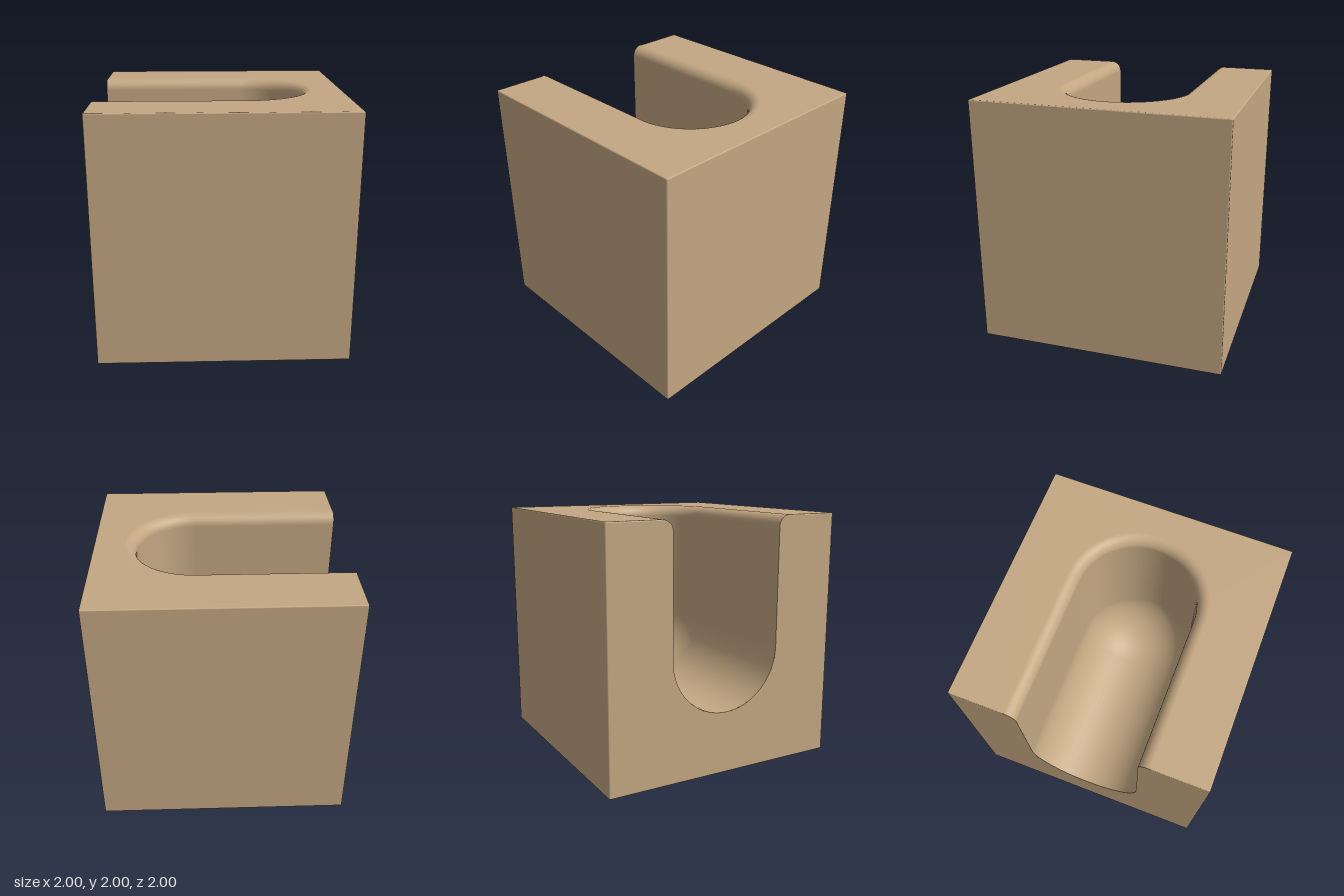
import * as THREE from 'three';

const R = 0.47;          // channel radius
const FLOOR_Y = 0.97;    // height of the channel floor's arc centre
const END_X = 0.2;       // centre of the rounded channel end
const RIM = 0.09;        // rounding of the channel rim
const W = R + RIM;
const BEVEL = 0.01;      // tiny rounding of the outer edges
const S = 1 - BEVEL;
const HALF_PI = Math.PI / 2;

function squareShape() {
  return new THREE.Shape([[-S, -S], [S, -S], [S, S], [-S, S]].map(([x, y]) => new THREE.Vector2(x, y)));
}

// Top face with a slot open to one side
function topShape() {
  const s = new THREE.Shape();
  s.moveTo(-S, -S).lineTo(S, -S).lineTo(S, S).lineTo(-S, S).lineTo(-S, W).lineTo(END_X, W);
  s.absarc(END_X, 0, W, HALF_PI, -HALF_PI, true);
  s.lineTo(-S, -W);
  return s;
}

// Side face with the round-bottomed channel mouth
function mouthShape() {
  const s = new THREE.Shape();
  s.moveTo(-S, -S).lineTo(S, -S).lineTo(S, S).lineTo(W, S);
  s.absarc(W, 1 - RIM, RIM, HALF_PI, Math.PI, false);
  s.absarc(0, FLOOR_Y - 1, R, 0, -Math.PI, true);
  s.absarc(-W, 1 - RIM, RIM, 0, HALF_PI, false);
  s.lineTo(-W, S).lineTo(-S, S);
  return s;
}

// Sweep the floor, wall and rim profile along the U-shaped path
function channelGeometry() {
  const profile = [];
  for (let i = 0; i <= 20; i++) {
    const t = (i / 20) * HALF_PI;
    profile.push([R * Math.sin(t), FLOOR_Y - R * Math.cos(t), -Math.sin(t), Math.cos(t)]);
  }
  for (let i = 0; i <= 10; i++) {
    const t = (i / 10) * HALF_PI;
    profile.push([W - RIM * Math.cos(t), 2 - RIM + RIM * Math.sin(t), -Math.cos(t), Math.sin(t)]);
  }
  const path = [[-1, -HALF_PI]];
  for (let i = 0; i <= 48; i++) path.push([END_X, -HALF_PI + (i / 48) * Math.PI]);
  path.push([-1, HALF_PI]);

  const positions = [], normals = [], index = [];
  const n = profile.length;
  path.forEach(([x, a], i) => {
    const c = Math.cos(a), s = Math.sin(a);
    profile.forEach(([d, y, nd, ny], j) => {
      positions.push(x + d * c, y, d * s);
      normals.push(nd * c, ny, nd * s);
      if (i < path.length - 1 && j < n - 1) {
        const p = i * n + j, q = p + n;
        index.push(p, q, p + 1, q, q + 1, p + 1);
      }
    });
  });
  const g = new THREE.BufferGeometry();
  g.setAttribute('position', new THREE.Float32BufferAttribute(positions, 3));
  g.setAttribute('normal', new THREE.Float32BufferAttribute(normals, 3));
  g.setIndex(index);
  return g;
}

export function createModel() {
  const model = new THREE.Group();
  model.name = 'channelBlock';
  const wood = new THREE.MeshStandardMaterial({ color: 0xc3a782 });
  wood.name = 'beechWood';

  const add = (name, geometry, position, rotation = [0, 0, 0]) => {
    const mesh = new THREE.Mesh(geometry, wood);
    mesh.name = name;
    mesh.position.set(...position);
    mesh.rotation.set(...rotation);
    model.add(mesh);
  };

  // Flat faces
  const face = (shape) => new THREE.ShapeGeometry(shape, 24);
  add('frontFace', face(squareShape()), [0, 1, 1]);
  add('backFace', face(squareShape()), [0, 1, -1], [0, Math.PI, 0]);
  add('closedSideFace', face(squareShape()), [1, 1, 0], [0, HALF_PI, 0]);
  add('bottomFace', face(squareShape()), [0, 0, 0], [HALF_PI, 0, 0]);
  add('topFace', face(topShape()), [0, 2, 0], [-HALF_PI, 0, 0]);
  add('mouthFace', face(mouthShape()), [-1, 1, 0], [0, -HALF_PI, 0]);

  // Channel
  add('channel', channelGeometry(), [0, 0, 0]);

  // Rounded outer edges and corners
  const rod = (length) => new THREE.CylinderGeometry(BEVEL, BEVEL, length, 16);
  for (const a of [-S, S]) {
    for (const b of [-S, S]) {
      add('uprightEdge', rod(2 * S), [a, 1, b]);
      add('lengthEdge', rod(2 * S), [0, 1 + a, b], [0, 0, HALF_PI]);
      if (a < 0 && b > 0) {
        // The mouth splits this edge in two
        for (const side of [-1, 1]) {
          add('mouthEdge', rod(S - W), [a, 1 + b, side * (S + W) / 2], [HALF_PI, 0, 0]);
        }
      } else {
        add('crossEdge', rod(2 * S), [a, 1 + b, 0], [HALF_PI, 0, 0]);
      }
      for (const c of [-S, S]) add('corner', new THREE.SphereGeometry(BEVEL, 16, 8), [a, 1 + b, c]);
    }
  }
  return model;
}
